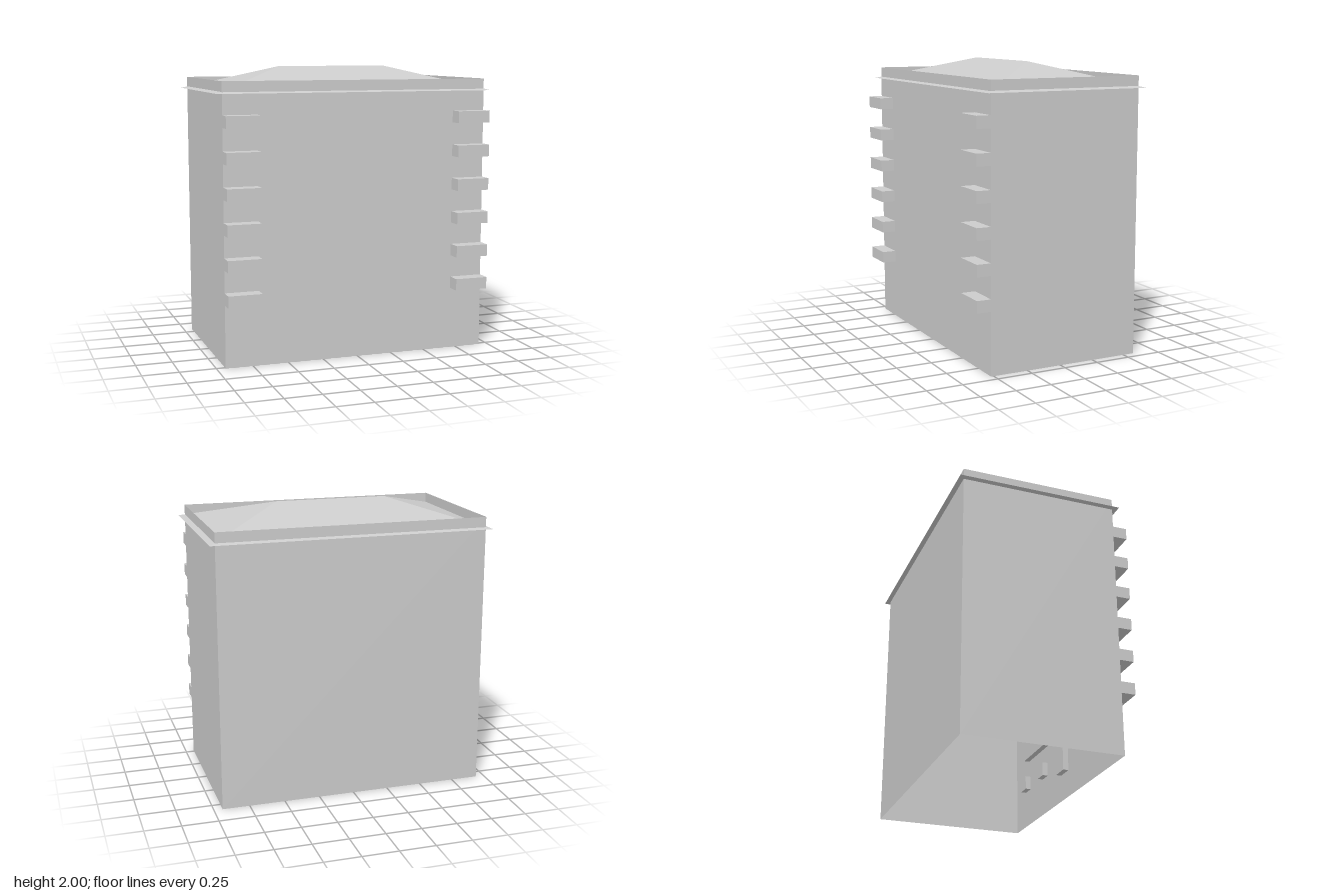
import * as THREE from 'three';

const W = 1.88, D = 1.10, H = 1.915;      // wall shell
const FRONT = 0.52, MID_Z = -0.03;        // front wall plane and depth centre
const FLOORS = 6, STEP = 0.236;

export function createModel() {
  const model = new THREE.Group();
  const solid = new THREE.MeshStandardMaterial({ color: 0xcccccc, flatShading: true });
  const sheet = new THREE.MeshStandardMaterial({ color: 0xcccccc, flatShading: true, side: THREE.DoubleSide });

  // Open shell of four thin walls that rise past the roof as a parapet
  const walls = new THREE.Group();
  walls.name = 'walls';
  ['frontWall', 'leftWall', 'backWall', 'rightWall'].forEach((name, i) => {
    const along = i % 2 ? D : W, out = i % 2 ? W / 2 : D / 2;
    const geometry = new THREE.PlaneGeometry(along, H);
    geometry.translate(0, H / 2, out).rotateY(i * Math.PI / 2).translate(0, 0, MID_Z);
    const wall = new THREE.Mesh(geometry, sheet);
    wall.name = name;
    walls.add(wall);
  });
  model.add(walls);

  // Hipped roof whose eaves pass through the walls as a thin ledge
  const roofGeometry = new THREE.BoxGeometry(1.96, 0.166, 1.17);
  const p = roofGeometry.attributes.position;
  for (let i = 0; i < p.count; i++) {
    if (p.getY(i) > 0) p.setXYZ(i, Math.sign(p.getX(i)) * 0.395, p.getY(i), 0);
  }
  roofGeometry.computeVertexNormals();
  const roof = new THREE.Mesh(roofGeometry, solid);
  roof.name = 'roof';
  roof.position.set(0, 1.917, MID_Z);
  model.add(roof);

  // Box given by its centre x, bottom y, back z and size
  function addBox(name, x, y, z, w, h, d) {
    const box = new THREE.Mesh(new THREE.BoxGeometry(w, h, d), solid);
    box.name = name;
    box.position.set(x, y + h / 2, z + d / 2);
    model.add(box);
  }

  // Balconies stacked at both front corners, windows set behind the front wall
  for (let i = 0; i < FLOORS; i++) {
    for (const side of [-1, 1]) {
      addBox('balcony', side * 0.8225, 0.433 + i * STEP, FRONT, 0.235, 0.082, 0.1);
    }
    for (const x of [-0.465, 0, 0.465]) {
      addBox('window', x, 0.5 + i * STEP, FRONT - 0.042, x ? 0.42 : 0.375, 0.115, 0.04);
    }
  }

  // Ground floor door and small windows, also behind the front wall
  addBox('door', 0, 0.19, FRONT - 0.042, 0.13, 0.19, 0.04);
  for (const x of [-0.7, -0.36, 0.36, 0.7]) {
    addBox('smallWindow', x, 0.27, FRONT - 0.042, 0.095, 0.1, 0.04);
  }
  return model;
}
